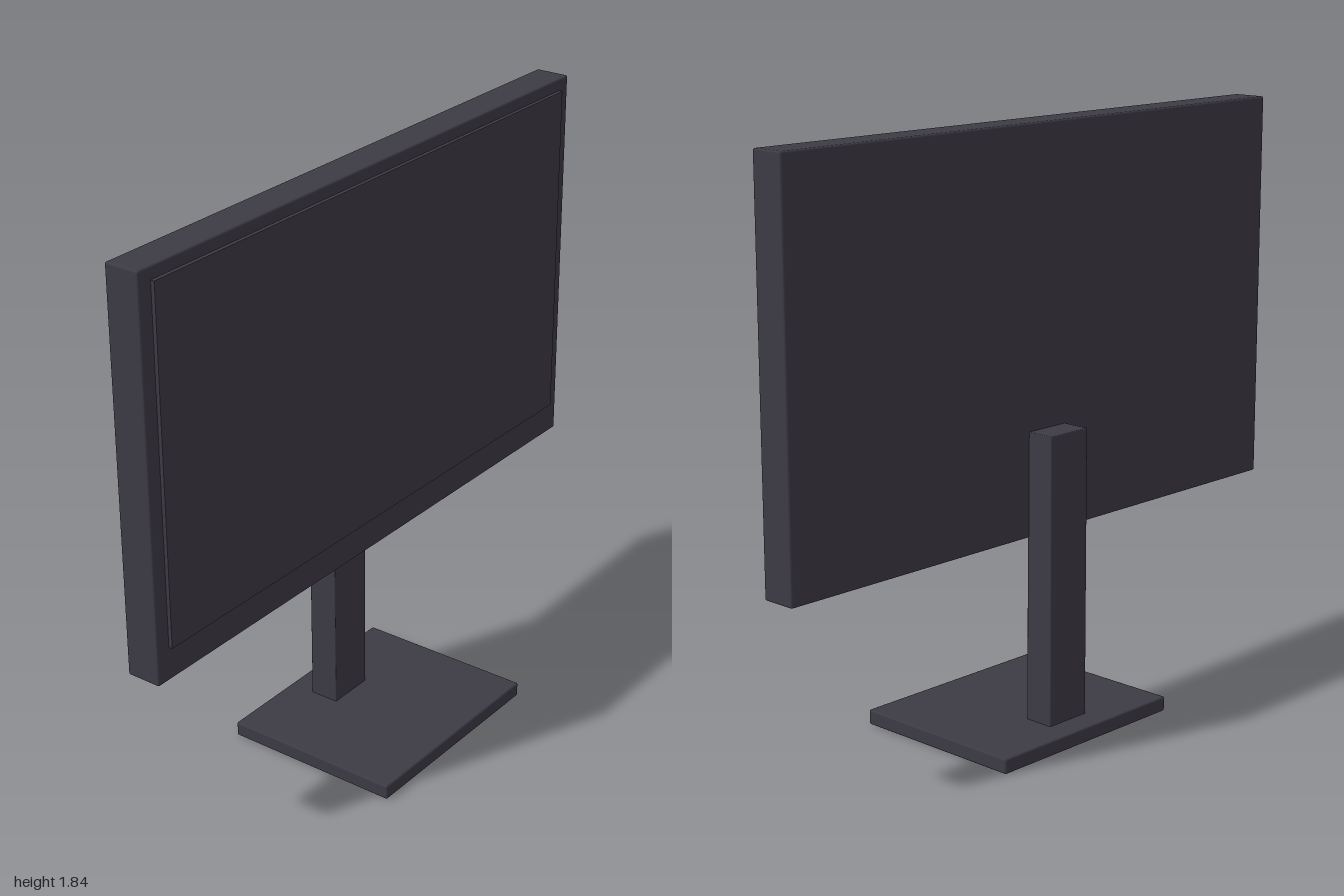
import * as THREE from 'three';
import { RoundedBoxGeometry } from 'three/addons/geometries/RoundedBoxGeometry.js';

export function createModel() {
  const group = new THREE.Group();
  group.name = 'monitor';

  const plastic = new THREE.MeshStandardMaterial({ color: 0x3c3a44 });
  plastic.name = 'charcoal plastic';

  // Box given by its extents on each axis, with a slight edge rounding
  function addBox(name, [x0, x1], [y0, y1], [z0, z1], radius) {
    const size = [x1 - x0, y1 - y0, z1 - z0];
    const geometry = radius
      ? new RoundedBoxGeometry(...size, 2, radius)
      : new THREE.BoxGeometry(...size);
    const mesh = new THREE.Mesh(geometry, plastic);
    mesh.name = name;
    mesh.position.set((x0 + x1) / 2, (y0 + y1) / 2, (z0 + z1) / 2);
    group.add(mesh);
  }

  // Flat foot on the ground
  addBox('base', [-0.355, 0.355], [0, 0.047], [-0.29, 0.29], 0.006);

  // Upright post behind the panel
  addBox('standPost', [-0.078, 0.078], [0.04, 0.94], [-0.208, -0.113], 0.003);

  // Housing and the raised screen on its front
  addBox('panelHousing', [-1, 1], [0.618, 1.84], [-0.12, -0.009], 0.006);
  addBox('screen', [-0.952, 0.952], [0.722, 1.802], [-0.012, 0.003], 0);

  return group;
}
